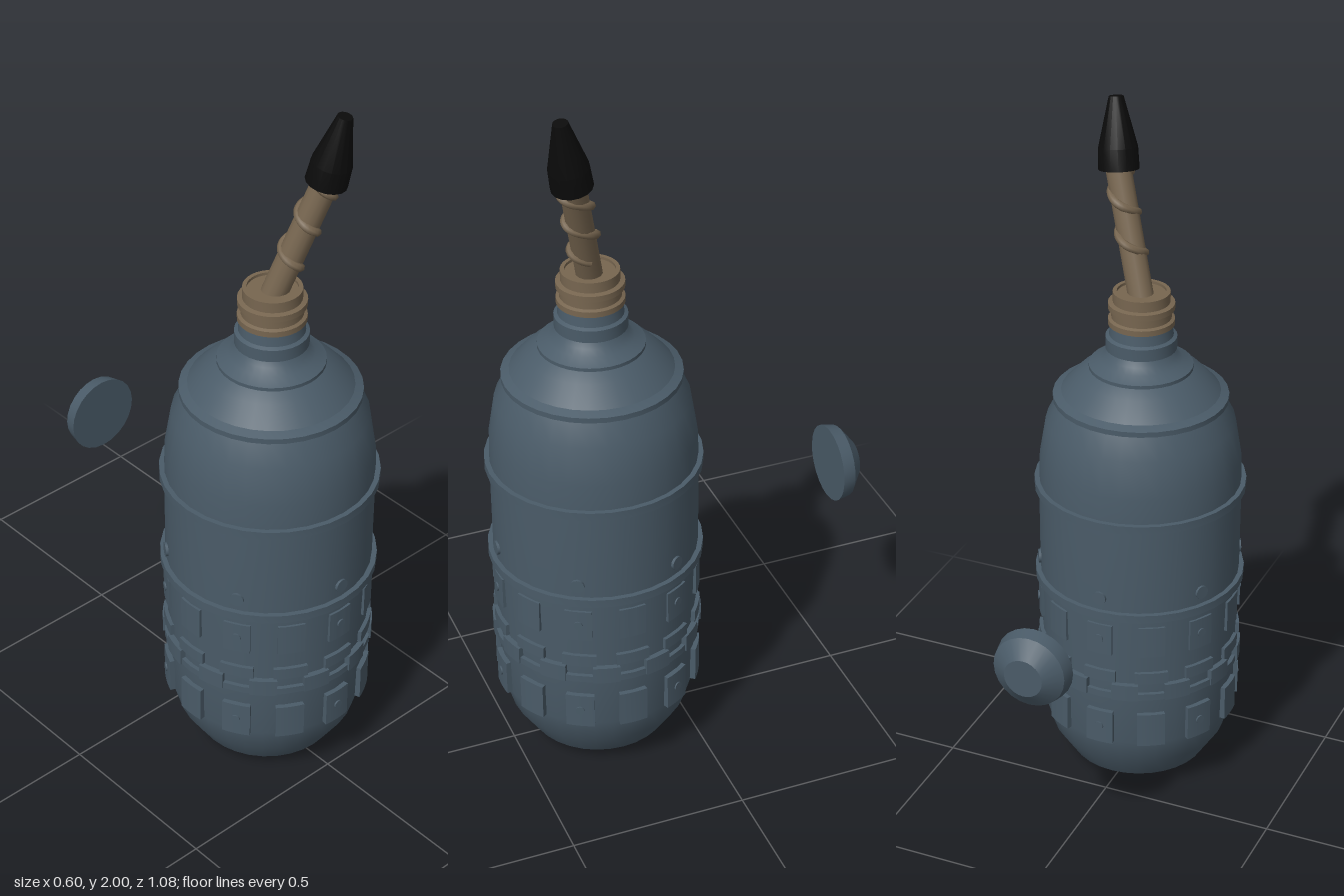
import * as THREE from 'three';
import { toCreasedNormals } from 'three/addons/utils/BufferGeometryUtils.js';

const steel = new THREE.MeshStandardMaterial({ color: 0x4a5b68 });
const tan = new THREE.MeshStandardMaterial({ color: 0x776650 });
const black = new THREE.MeshStandardMaterial({ color: 0x0b0b0b });
const TAU = Math.PI * 2;

function add(parent, name, geometry, material) {
  const mesh = new THREE.Mesh(geometry, material);
  mesh.name = name;
  parent.add(mesh);
  return mesh;
}

function lathe(points, sides = 32) {
  const g = new THREE.LatheGeometry(points.map(([r, y]) => new THREE.Vector2(r, y)), sides);
  return toCreasedNormals(g, 0.4);
}

// Curved block hugging the wall, angles in degrees
function arcPad(r0, r1, y0, y1, centre, width) {
  const a = THREE.MathUtils.degToRad(centre - width / 2);
  const b = THREE.MathUtils.degToRad(centre + width / 2);
  const s = new THREE.Shape();
  s.absarc(0, 0, r1, a, b, false);
  s.absarc(0, 0, r0, b, a, true);
  const g = new THREE.ExtrudeGeometry(s, { depth: y1 - y0, bevelEnabled: false, curveSegments: 4 });
  g.rotateX(-Math.PI / 2);
  g.translate(0, y0, 0);
  return toCreasedNormals(g, 0.4);
}

// Short stud pointing outwards from the wall
function stud(parent, name, radius, r, y, degrees) {
  const a = THREE.MathUtils.degToRad(degrees);
  const m = add(parent, name, new THREE.CylinderGeometry(radius, radius, 0.02, 12), steel);
  m.position.set(Math.cos(a) * r, y, -Math.sin(a) * r);
  m.rotation.set(0, a, -Math.PI / 2);
}

export function createModel() {
  const model = new THREE.Group();
  model.name = 'flask';
  const bottle = new THREE.Group();
  bottle.name = 'bottle';
  bottle.position.z = 0.24;
  model.add(bottle);

  // Body with rounded base, stepped shoulder and neck
  add(bottle, 'body', lathe([
    [0, 0.005], [0.11, 0.005], [0.2, 0.04], [0.252, 0.12], [0.275, 0.2], [0.279, 0.4],
    [0.285, 0.62], [0.286, 0.9], [0.283, 1.0], [0.265, 1.11], [0.235, 1.17],
    [0.245, 1.175], [0.245, 1.19], [0.222, 1.2], [0.175, 1.25], [0.145, 1.27],
    [0.145, 1.28], [0.115, 1.295], [0.098, 1.31], [0.087, 1.33],
    [0.099, 1.33], [0.099, 1.365], [0.089, 1.37], [0.085, 1.4], [0, 1.4],
  ]), steel);
  for (const y of [0.915, 0.63]) {
    add(bottle, 'hoop', lathe([
      [0.28, y - 0.012], [0.299, y - 0.012], [0.299, y + 0.012], [0.28, y + 0.012],
    ]), steel);
  }

  // Grip: two rows of blocks around a segmented double band
  const grip = new THREE.Group();
  grip.name = 'grip';
  bottle.add(grip);
  for (let i = 0; i < 12; i++) {
    const a = i * 30;
    add(grip, 'upperBlock', arcPad(0.27, 0.29, 0.5, 0.595, a, 15), steel);
    add(grip, 'lowerBlock', arcPad(0.265, 0.29, 0.2, 0.305, a, 16), steel);
    add(grip, 'bandTab', arcPad(0.265, 0.294, 0.355, 0.405, a + 15, 15), steel);
    add(grip, 'bandSegment', arcPad(0.265, 0.29, 0.41, 0.445, a, 19), steel);
    if (i % 2 === 1) {
      stud(grip, 'gripStud', 0.013, 0.284, 0.55, a);
      stud(grip, 'gripStud', 0.013, 0.284, 0.255, a);
    }
  }
  add(grip, 'band', lathe([[0.265, 0.355], [0.29, 0.355], [0.29, 0.375], [0.265, 0.375]]), steel);
  for (let i = 0; i < 6; i++) stud(bottle, 'rivet', 0.02, 0.281, 0.68, 30 + i * 60);

  // Ribbed stopper with a shallow recess on top
  add(bottle, 'stopper', lathe([
    [0, 1.385], [0.083, 1.385], [0.083, 1.4], [0.092, 1.402], [0.092, 1.418],
    [0.083, 1.422], [0.083, 1.445], [0.092, 1.448], [0.092, 1.465], [0.079, 1.468],
    [0.079, 1.498], [0.068, 1.498], [0.068, 1.49], [0, 1.49],
  ]), tan);

  // Leaning spout
  const start = new THREE.Vector3(0, 1.47, 0);
  const end = new THREE.Vector3(0.108, 1.82, 0.082);
  add(bottle, 'spout', new THREE.TubeGeometry(new THREE.LineCurve3(start, end), 1, 0.036, 14), tan);

  // Cord wound around the spout
  const cord = [];
  for (let i = 0; i <= 48; i++) {
    const t = i / 48;
    const a = t * TAU * 2.5;
    const p = start.clone().lerp(end, 0.22 + t * 0.74);
    cord.push(p.add(new THREE.Vector3(Math.cos(a) * 0.03, 0, Math.sin(a) * 0.038)));
  }
  add(bottle, 'cord', new THREE.TubeGeometry(new THREE.CatmullRomCurve3(cord), 72, 0.012, 7), tan);

  // Tapered nozzle following the lean of the spout
  const base = new THREE.Vector3(0.103, 1.805, 0.08);
  const tip = new THREE.Vector3(0.127, 1.998, 0.115);
  const axis = tip.clone().sub(base);
  const nozzle = add(bottle, 'nozzle', lathe([
    [0, 0], [0.056, 0], [0.054, 0.06], [0.02, axis.length()], [0, axis.length()],
  ], 16), black);
  nozzle.position.copy(base);
  nozzle.quaternion.setFromUnitVectors(new THREE.Vector3(0, 1, 0), axis.normalize());

  // Loose cap behind the bottle, its flat face to the front
  const cap = add(model, 'looseCap', lathe([
    [0, -0.075], [0.055, -0.075], [0.103, -0.038], [0.111, 0], [0, 0],
  ], 24), steel);
  cap.rotation.x = Math.PI / 2;
  cap.position.set(0, 0.71, -0.468);

  return model;
}
